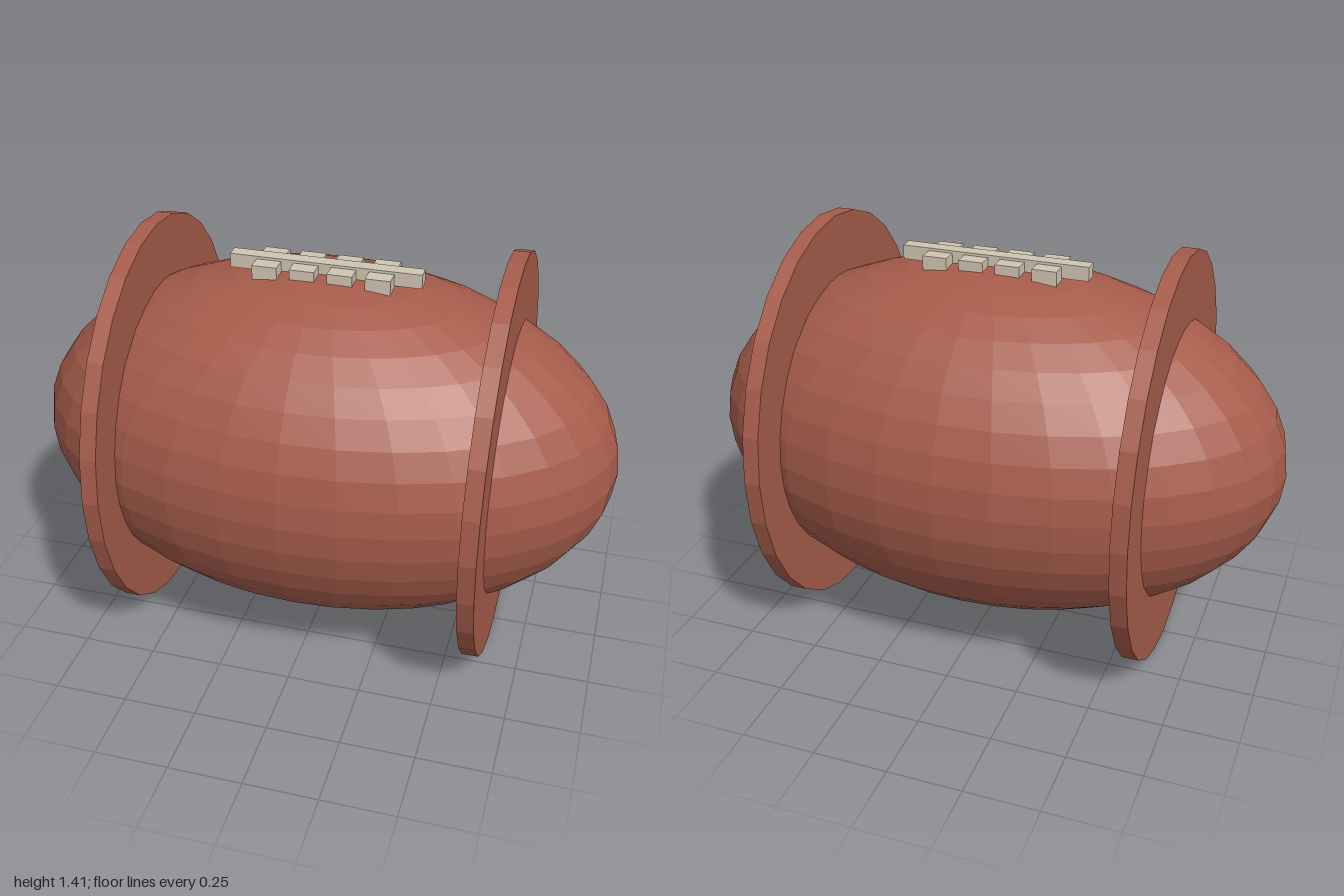
import * as THREE from 'three';

export function createModel() {
  const model = new THREE.Group();
  model.name = 'ball';
  const leather = new THREE.MeshStandardMaterial({ color: 0xa65c4b, flatShading: true });
  leather.name = 'brown leather';
  const cord = new THREE.MeshStandardMaterial({ color: 0xd0c5b3, flatShading: true });
  cord.name = 'pale lace';

  const add = (name, geometry, material, x, y, z) => {
    const mesh = new THREE.Mesh(geometry, material);
    mesh.name = name;
    mesh.position.set(x, y, z);
    model.add(mesh);
    return mesh;
  };

  const midY = 0.704;

  // Long oval body
  add('body', new THREE.SphereGeometry(1, 32, 20).scale(1, 0.605, 0.605), leather, 0, midY, 0);

  // Upright oval discs around both ends
  for (const side of [-1, 1]) {
    const disc = new THREE.CylinderGeometry(1, 1, 0.055, 28).rotateZ(Math.PI / 2).scale(1, 0.704, 0.634);
    add(side > 0 ? 'leftDisc' : 'rightDisc', disc, leather, side * 0.607, midY, 0);
  }

  // Lace strip with four cross stitches
  add('laceStrip', new THREE.BoxGeometry(0.64, 0.048, 0.048), cord, 0, 1.321, 0);
  for (let i = 0; i < 4; i++) {
    add('laceStitch' + (i + 1), new THREE.BoxGeometry(0.083, 0.05, 0.156), cord, (i - 1.5) * 0.125, 1.311, 0);
  }

  return model;
}
